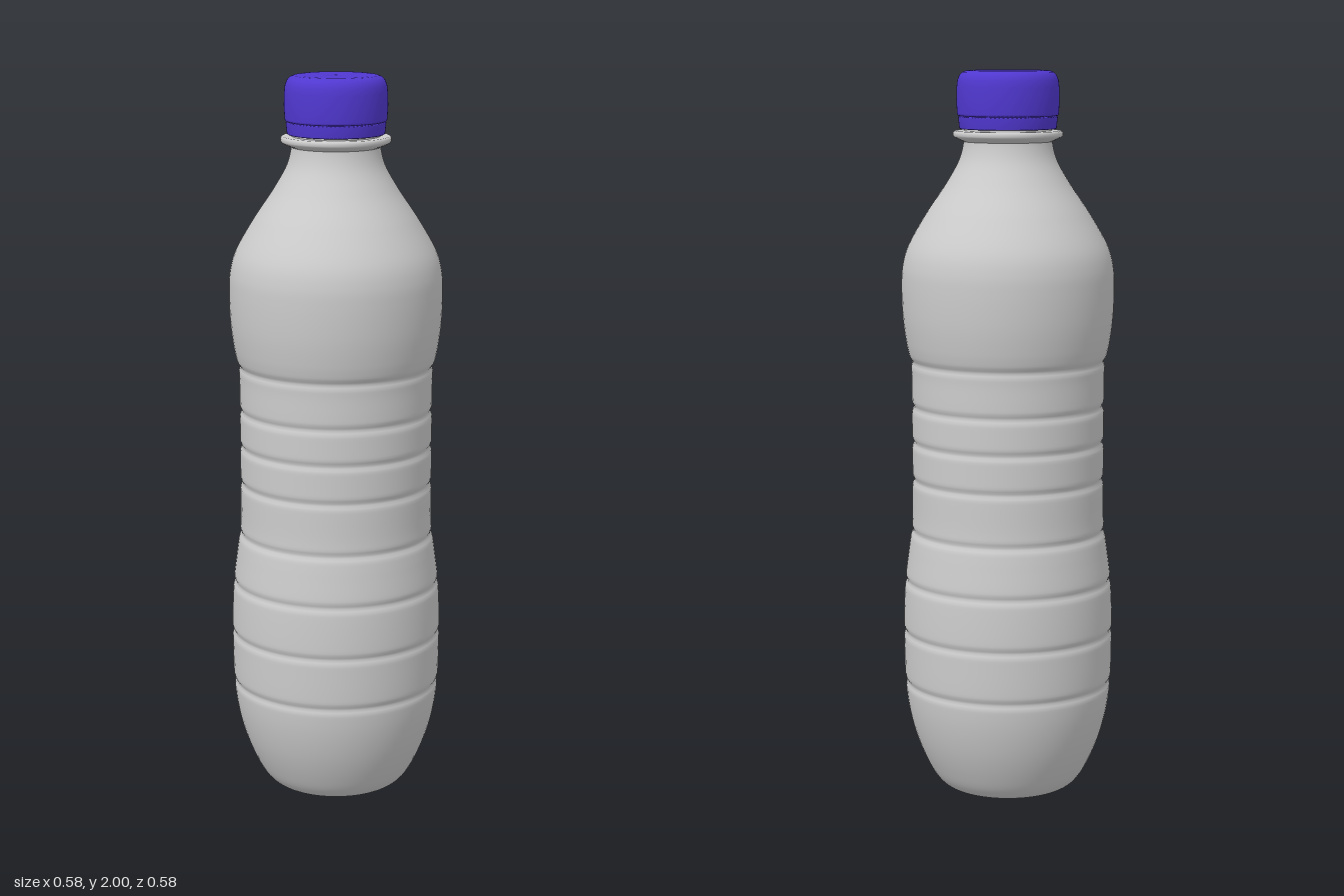
import * as THREE from 'three';

const SEGMENTS = 72;
const plastic = new THREE.MeshStandardMaterial({ color: 0xcccccc, side: THREE.DoubleSide });
const capPlastic = new THREE.MeshStandardMaterial({ color: 0x5038d0, side: THREE.DoubleSide });

// Smooth profile through [radius, height] points
function smoothProfile(points, count) {
  const curve = new THREE.CatmullRomCurve3(
    points.map(([r, y]) => new THREE.Vector3(r, y, 0)), false, 'centripetal');
  return curve.getSpacedPoints(count).map((p) => new THREE.Vector2(Math.max(0, p.x), Math.max(0, p.y)));
}

function revolve(name, profile, material) {
  const mesh = new THREE.Mesh(new THREE.LatheGeometry(profile, SEGMENTS), material);
  mesh.name = name;
  return mesh;
}

const toVectors = (points) => points.map(([r, y]) => new THREE.Vector2(r, y));

export function createModel() {
  const model = new THREE.Group();
  model.name = 'bottle';

  // Body: dimpled base, rounded belly, narrow grip, shoulder and neck
  const outline = smoothProfile([
    [0, 0.022], [0.025, 0.024], [0.05, 0.034], [0.085, 0.022], [0.12, 0.005], [0.15, 0],
    [0.18, 0.008], [0.205, 0.032], [0.232, 0.08], [0.26, 0.15], [0.28, 0.23], [0.289, 0.31],
    [0.292, 0.42], [0.292, 0.5], [0.287, 0.6], [0.277, 0.68], [0.268, 0.75], [0.266, 0.85],
    [0.266, 1.0], [0.266, 1.12], [0.268, 1.2], [0.28, 1.26], [0.289, 1.33], [0.292, 1.42],
    [0.289, 1.47], [0.276, 1.52], [0.226, 1.61], [0.166, 1.7], [0.133, 1.76], [0.122, 1.8],
    [0.12, 1.83], [0.12, 1.96],
  ], 320);

  // Pressed-in rings around the body
  const grooves = [0.305, 0.45, 0.595, 0.735, 0.88, 0.985, 1.085, 1.21];
  for (const p of outline) {
    if (p.y < 0.25) continue;
    for (const y of grooves) p.x -= 0.006 * Math.exp(-(((p.y - y) / 0.009) ** 2));
  }
  model.add(revolve('body', outline, plastic));

  // Flange below the cap
  model.add(revolve('neckRing', toVectors([
    [0.119, 1.808], [0.14, 1.817], [0.148, 1.822], [0.15, 1.826], [0.15, 1.832],
    [0.148, 1.836], [0.144, 1.838], [0.119, 1.838],
  ]), plastic));

  // Tamper band at the foot of the cap
  model.add(revolve('capBand', toVectors([
    [0.121, 1.843], [0.13, 1.843], [0.132, 1.845], [0.135, 1.874], [0.134, 1.877], [0.121, 1.878],
  ]), capPlastic));

  // Cap with a rounded rim and a pinhole in the top
  model.add(revolve('cap', toVectors([
    [0.121, 1.878], [0.134, 1.878], [0.137, 1.88], [0.138, 1.885], [0.14, 1.92], [0.139, 1.955],
    [0.137, 1.973], [0.132, 1.986], [0.124, 1.995], [0.113, 1.999], [0.1, 2], [0.05, 2], [0.004, 2],
    [0.004, 1.985],
  ]), capPlastic));

  return model;
}
